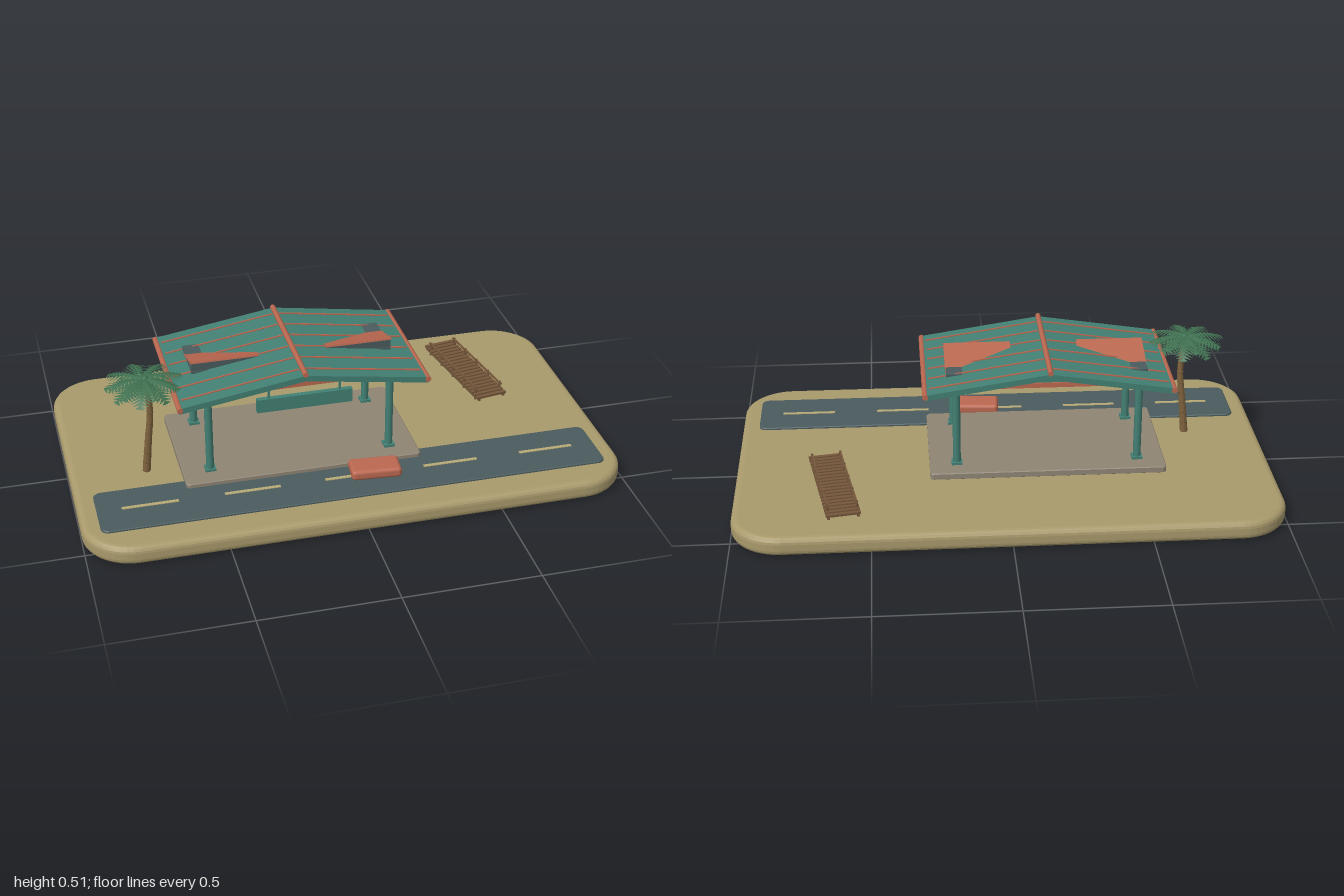
import * as THREE from 'three';
import { RoundedBoxGeometry } from 'three/addons/geometries/RoundedBoxGeometry.js';

const paint = (name, color, side = THREE.FrontSide) => {
  const m = new THREE.MeshStandardMaterial({ color, side });
  m.name = name;
  return m;
};

export function createModel() {
  const sand = paint('sand', 0xa99a6c);
  const asphalt = paint('asphalt', 0x4a5b5e);
  const concrete = paint('concrete', 0x8f8574);
  const teal = paint('teal', 0x438074);
  const coral = paint('coral', 0xbb6850);
  const wood = paint('wood', 0x76583c);
  const bark = paint('bark', 0x80643f);
  const leaf = paint('leaf', 0x3f7050, THREE.DoubleSide);
  const stripe = paint('stripe', 0xb8aa78);

  const model = new THREE.Group();
  model.name = 'roadsideShelter';

  const add = (parent, name, geo, mat, x = 0, y = 0, z = 0) => {
    const m = new THREE.Mesh(geo, mat);
    m.name = name;
    m.position.set(x, y, z);
    parent.add(m);
    return m;
  };
  const box = (parent, name, mat, w, h, d, x, y, z) =>
    add(parent, name, new THREE.BoxGeometry(w, h, d), mat, x, y, z);
  const group = (name, x = 0, y = 0, z = 0) => {
    const g = new THREE.Group();
    g.name = name;
    g.position.set(x, y, z);
    model.add(g);
    return g;
  };

  // Flat slab with rounded corners and a bevelled rim, standing on y = 0
  const slab = (w, d, h, r, bevel, segments) => {
    const a = w / 2 - bevel, b = d / 2 - bevel, s = new THREE.Shape();
    s.moveTo(-a + r, -b);
    s.lineTo(a - r, -b).absarc(a - r, -b + r, r, -Math.PI / 2, 0, false);
    s.lineTo(a, b - r).absarc(a - r, b - r, r, 0, Math.PI / 2, false);
    s.lineTo(-a + r, b).absarc(-a + r, b - r, r, Math.PI / 2, Math.PI, false);
    s.lineTo(-a, -b + r).absarc(-a + r, -b + r, r, Math.PI, Math.PI * 1.5, false);
    const g = new THREE.ExtrudeGeometry(s, {
      depth: h - 2 * bevel, bevelThickness: bevel, bevelSize: bevel,
      bevelSegments: segments, curveSegments: 6,
    });
    return g.rotateX(-Math.PI / 2).translate(0, bevel, 0);
  };

  // Ground, road with dashes, and shelter floor
  add(model, 'ground', slab(2, 1.21, 0.072, 0.16, 0.024, 4), sand);
  add(model, 'road', slab(1.87, 0.25, 0.016, 0.025, 0.003, 1), asphalt, 0, 0.064, 0.365);
  for (let i = -2; i <= 2; i++) {
    box(model, 'roadDash', stripe, 0.205, 0.003, 0.014, i * 0.372, 0.081, 0.362);
  }
  add(model, 'floor', slab(0.88, 0.505, 0.026, 0.012, 0.003, 1), concrete, -0.16, 0.07, 0.043);

  // Shelter, centred on its ridge
  const shelter = group('shelter', -0.16, 0, 0);
  const half = 0.455, eaveY = 0.425, ridgeY = 0.495;
  const slope = Math.atan2(ridgeY - eaveY, half);
  const extrude = (points, depth, z) => {
    const s = new THREE.Shape(points.map(([x, y]) => new THREE.Vector2(x, y)));
    return new THREE.ExtrudeGeometry(s, { depth, bevelEnabled: false }).translate(0, 0, z);
  };
  const t = 0.022;
  add(shelter, 'roof', extrude([[-half, eaveY - t], [0, ridgeY - t], [half, eaveY - t],
    [half, eaveY], [0, ridgeY], [-half, eaveY]], 0.535, -0.225), teal);
  add(shelter, 'ridgeCap', new THREE.CylinderGeometry(0.01, 0.01, 0.537, 10).rotateX(Math.PI / 2),
    coral, 0, 0.498, 0.0425);

  for (const z of [0.21, -0.125]) {
    add(shelter, 'gable', extrude([[-0.34, 0.415], [0.34, 0.415], [0, 0.475]], 0.012, z - 0.006), teal);
    box(shelter, 'crossBeam', coral, 0.7, 0.018, 0.024, 0, 0.411, z);
    for (const x of [-0.338, 0.338]) {
      add(shelter, 'column', new THREE.CylinderGeometry(0.0145, 0.0145, 0.325, 12), teal, x, 0.2575, z);
      box(shelter, 'columnFoot', teal, 0.04, 0.01, 0.04, x, 0.1, z);
    }
  }
  box(shelter, 'signPanel', teal, 0.35, 0.052, 0.02, 0, 0.384, 0.285);
  for (const x of [-0.13, 0.13]) box(shelter, 'signHanger', teal, 0.008, 0.05, 0.008, x, 0.425, 0.285);

  for (const s of [-1, 1]) {
    add(shelter, 'eaveTrim', new THREE.CylinderGeometry(0.011, 0.011, 0.541, 8).rotateX(Math.PI / 2),
      coral, s * 0.453, 0.418, 0.0425);
    // Standing seams following the roof pitch
    for (let i = 0; i < 6; i++) {
      const rib = box(shelter, 'roofSeam', coral, 0.43, 0.007, 0.005,
        s * 0.225, (eaveY + ridgeY) / 2 + 0.001, 0.257 - i * 0.0865);
      rib.rotation.z = -s * slope;
    }
    // Shed dormer: low curb, front pane and tilted lid cutting into the roof
    const dormer = new THREE.Group();
    dormer.name = 'dormer';
    dormer.position.x = s * 0.25;
    shelter.add(dormer);
    box(dormer, 'dormerCurb', asphalt, 0.245, 0.02, 0.2, 0, 0.437, 0);
    box(dormer, 'dormerPane', asphalt, 0.245, 0.054, 0.008, 0, 0.453, 0.092);
    const lid = box(dormer, 'dormerLid', coral, 0.25, 0.007, 0.21, 0, 0.453, 0);
    lid.rotation.x = -0.29;
  }

  // Rounded vehicle body parked on the road
  const car = add(model, 'car', new RoundedBoxGeometry(0.185, 0.04, 0.1, 3, 0.014), coral, 0.085, 0.099, 0.356);
  car.rotation.y = -0.08;

  // Boardwalk with posts and rails
  const walk = group('boardwalk', 0.633, 0, -0.262);
  walk.rotation.y = 0.165;
  for (let i = 0; i < 20; i++) {
    box(walk, 'plank', wood, 0.125, 0.009, 0.015, 0, 0.096, -0.223 + i * 0.02347);
  }
  for (const x of [-0.053, 0.053]) {
    box(walk, 'stringer', wood, 0.01, 0.012, 0.455, x, 0.087, 0);
    box(walk, 'rail', wood, 0.007, 0.006, 0.41, x, 0.121, 0);
    for (let i = -2; i <= 2; i++) {
      add(walk, 'post', new THREE.CylinderGeometry(0.005, 0.005, 0.058, 6), wood, x, 0.099, i * 0.0965);
    }
  }

  // Palm trunk: curved, tapering tube with thin rings
  const palm = group('palm', -0.72, 0, 0.13);
  const path = new THREE.CatmullRomCurve3([[0, 0.07, -0.005], [0.012, 0.2, 0], [0.024, 0.33, 0.006], [0.012, 0.465, 0.012]]
    .map((p) => new THREE.Vector3(...p)));
  const trunk = new THREE.TubeGeometry(path, 16, 0.015, 8);
  const pos = trunk.attributes.position, v = new THREE.Vector3();
  for (let i = 0; i < pos.count; i++) {
    const u = Math.floor(i / 9) / 16;
    const c = path.getPointAt(u);
    v.fromBufferAttribute(pos, i).sub(c).multiplyScalar(1 - 0.35 * u).add(c);
    pos.setXYZ(i, v.x, v.y, v.z);
  }
  add(palm, 'trunk', trunk, bark);
  for (let i = 1; i < 9; i++) {
    const p = path.getPointAt(i / 9.5);
    add(palm, 'trunkRing', new THREE.CylinderGeometry(0.0165 - i * 0.0006, 0.0145 - i * 0.0006, 0.006, 8), bark, p.x, p.y, p.z);
  }

  // Palm frond: arched rib strip with drooping pointed leaflets on both sides
  const frond = (len, droop) => {
    const p = [], n = 11;
    const rib = (u) => [len * u, 0.03 * u - droop * u * u];
    for (let i = 0; i < n; i++) {
      const [x0, y0] = rib(i / n), [x1, y1] = rib((i + 1) / n);
      const w = 0.048 * Math.sin(Math.PI * (0.14 + 0.8 * i / n));
      for (const s of [-1, 1]) {
        p.push(x0, y0, 0, x1, y1, 0, x0 + w * 0.6, y0 - w * 0.45, s * w);
        p.push(x0, y0, 0, x1, y1, 0, x1, y1 - 0.004, s * w * 0.42);
      }
    }
    const g = new THREE.BufferGeometry();
    g.setAttribute('position', new THREE.Float32BufferAttribute(p, 3));
    g.computeVertexNormals();
    return g;
  };
  const upper = frond(0.142, 0.045), lower = frond(0.125, 0.075);
  for (let i = 0; i < 16; i++) {
    const f = add(palm, 'frond', i % 2 ? lower : upper, leaf, 0.006, i % 2 ? 0.462 : 0.47, 0.012);
    f.rotation.y = (i / 16) * Math.PI * 2 + 0.15;
  }
  add(palm, 'crown', new THREE.SphereGeometry(0.014, 8, 6), leaf, 0.012, 0.465, 0.012);

  return model;
}
